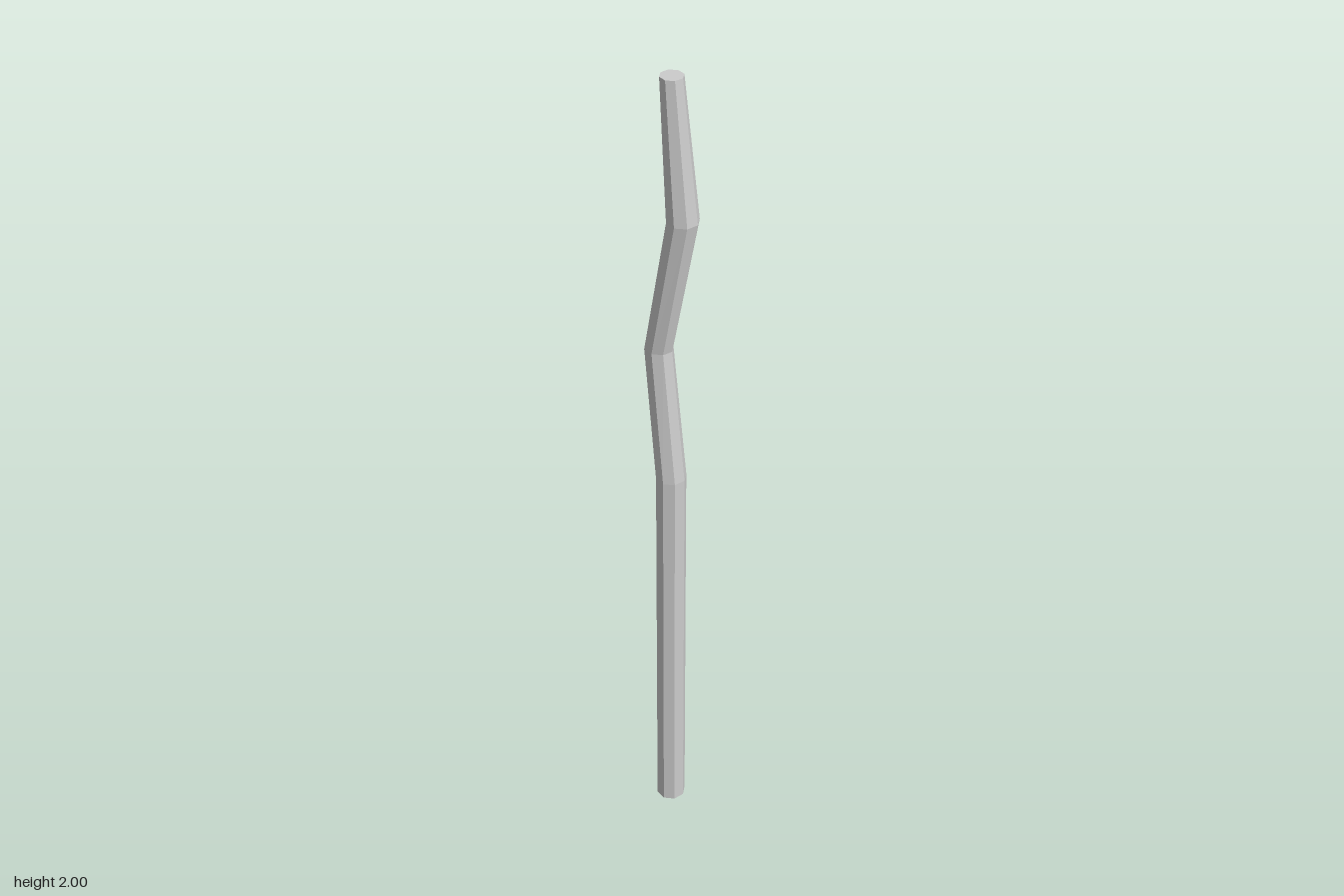
import * as THREE from 'three';

// Cross-sections from the ground up: height, centre x, centre z, radius x, radius z
const RINGS = [
  [0, 0.002, 0, 0.035, 0.036],
  [1, 0.002, 0, 0.035, 0.036],
  [1.335, -0.033, -0.006, 0.034, 0.031],
  [1.675, 0.03, 0, 0.036, 0.0365],
  [2, 0.003, 0, 0.026, 0.026],
];

// Eight-sided cylinder whose rings are shifted and scaled to make a crooked stick
function crookedPole(rings, sides) {
  const steps = rings.length - 1;
  const geometry = new THREE.CylinderGeometry(1, 1, steps, sides, steps);
  const pos = geometry.attributes.position;
  for (let i = 0; i < pos.count; i++) {
    const [y, cx, cz, rx, rz] = rings[Math.round(pos.getY(i) + steps / 2)];
    pos.setXYZ(i, cx + pos.getX(i) * rx, y, cz + pos.getZ(i) * rz);
  }
  const flat = geometry.toNonIndexed();
  flat.computeVertexNormals();
  return flat;
}

export function createModel() {
  const group = new THREE.Group();
  group.name = 'crookedStaff';

  // Straight lower half, bent and tapered upper half
  const material = new THREE.MeshStandardMaterial({ color: 0xcccccc, flatShading: true });
  const pole = new THREE.Mesh(crookedPole(RINGS, 8), material);
  pole.name = 'pole';
  group.add(pole);

  return group;
}
